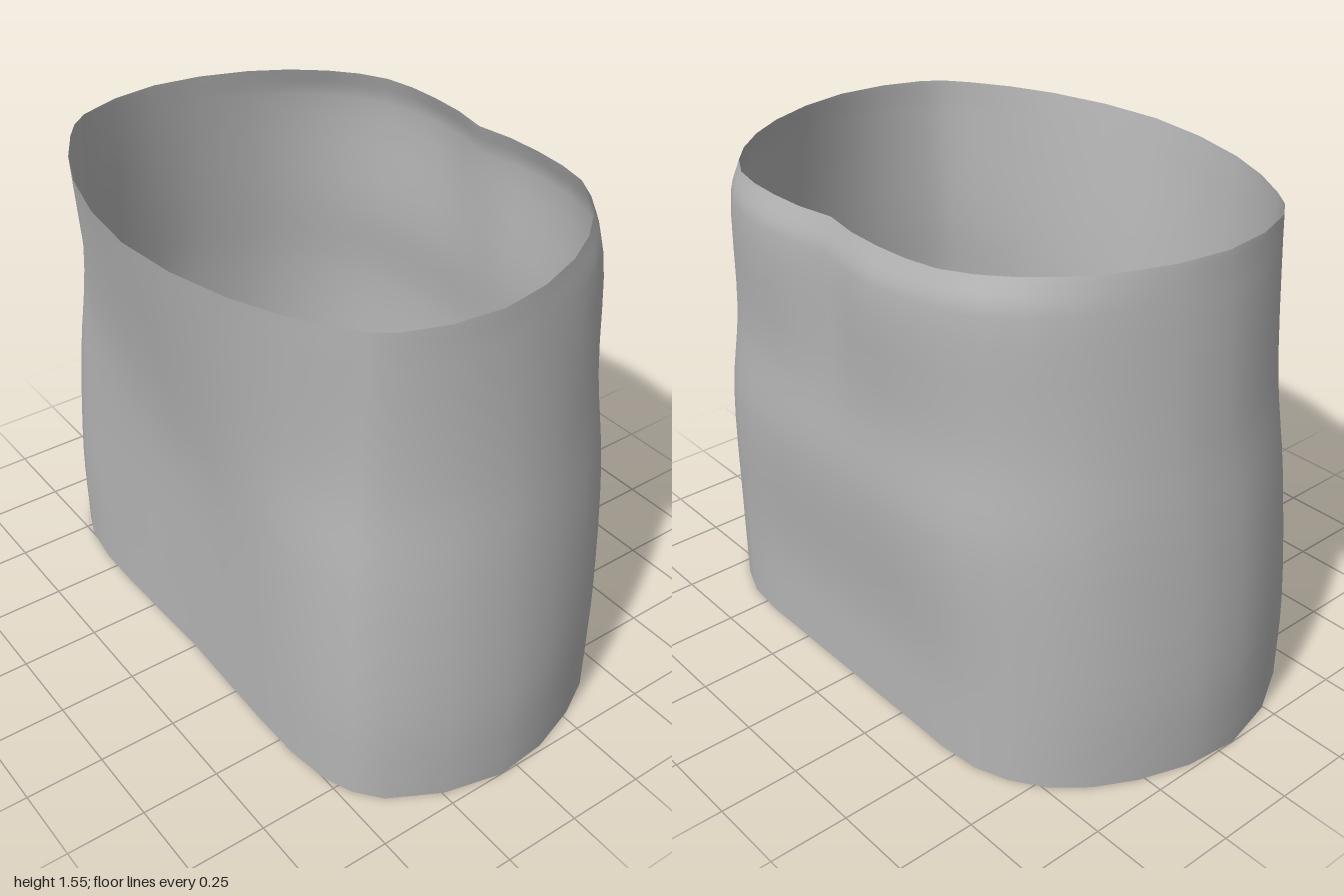
import * as THREE from 'three';

// Half cross-sections (x, z) from centre front round the left side to centre back
const hem = [0, .51, .4, .52, .7, .5, .87, .4, 1, .06, .93, -.27, .78, -.49, .58, -.595, .3, -.608, 0, -.608];
const thigh = [0, .515, .4, .525, .67, .48, .83, .39, .955, .06, .88, -.3, .74, -.5, .55, -.615, .28, -.648, 0, -.645];
const hip = [0, .555, .4, .535, .65, .455, .8, .365, .91, .03, .83, -.31, .68, -.505, .5, -.6, .25, -.635, 0, -.628];
const seat = [0, .635, .4, .572, .67, .45, .79, .34, .86, .05, .79, -.27, .66, -.485, .48, -.61, .25, -.655, 0, -.645];
const waist = [0, .655, .4, .585, .67, .45, .785, .34, .85, .05, .77, -.26, .62, -.475, .45, -.592, .24, -.62, 0, -.62];
const LEVELS = [[0, hem], [.3, hem], [.75, thigh], [1.05, hip], [1.45, seat], [1.55, waist]];
const AROUND = 36, ROWS = 20;

// Mirror a half section and sample the closed loop evenly between its points
function loop(y, half) {
  const left = [];
  for (let i = 0; i < half.length; i += 2) left.push(new THREE.Vector3(half[i], y, half[i + 1]));
  const right = left.slice(1, -1).reverse().map((v) => new THREE.Vector3(-v.x, v.y, v.z));
  const curve = new THREE.CatmullRomCurve3([...left, ...right], true);
  return Array.from({ length: AROUND }, (_, i) => curve.getPoint(i / AROUND));
}

// Open sleeve through the loops, with a soft crease down the centre back
function sleeveGeometry() {
  const loops = LEVELS.map(([y, half]) => loop(y, half));
  const points = [], index = [];
  const columns = loops[0].map((_, i) => new THREE.CatmullRomCurve3(loops.map((l) => l[i])));
  for (let r = 0; r <= ROWS; r++) {
    for (const column of columns) {
      const v = column.getPoint(r / ROWS);
      if (v.z < 0) v.z += .025 * Math.exp(-((v.x / .1) ** 2)) * THREE.MathUtils.smoothstep(v.y, 1, 1.42);
      points.push(v);
    }
  }
  for (let r = 0; r < ROWS; r++) {
    for (let i = 0; i < AROUND; i++) {
      const a = r * AROUND + i, b = r * AROUND + (i + 1) % AROUND;
      index.push(a, b, b + AROUND, a, b + AROUND, a + AROUND);
    }
  }
  const geometry = new THREE.BufferGeometry().setFromPoints(points);
  geometry.setIndex(index);
  geometry.computeVertexNormals();
  return geometry;
}

export function createModel() {
  const group = new THREE.Group();
  group.name = 'tubeSkirt';
  const fabric = new THREE.MeshStandardMaterial({ color: 0xb4b4b4, side: THREE.DoubleSide });
  fabric.name = 'grey fabric';

  // Fitted open tube of cloth
  const skirt = new THREE.Mesh(sleeveGeometry(), fabric);
  skirt.name = 'skirt';
  group.add(skirt);
  return group;
}
